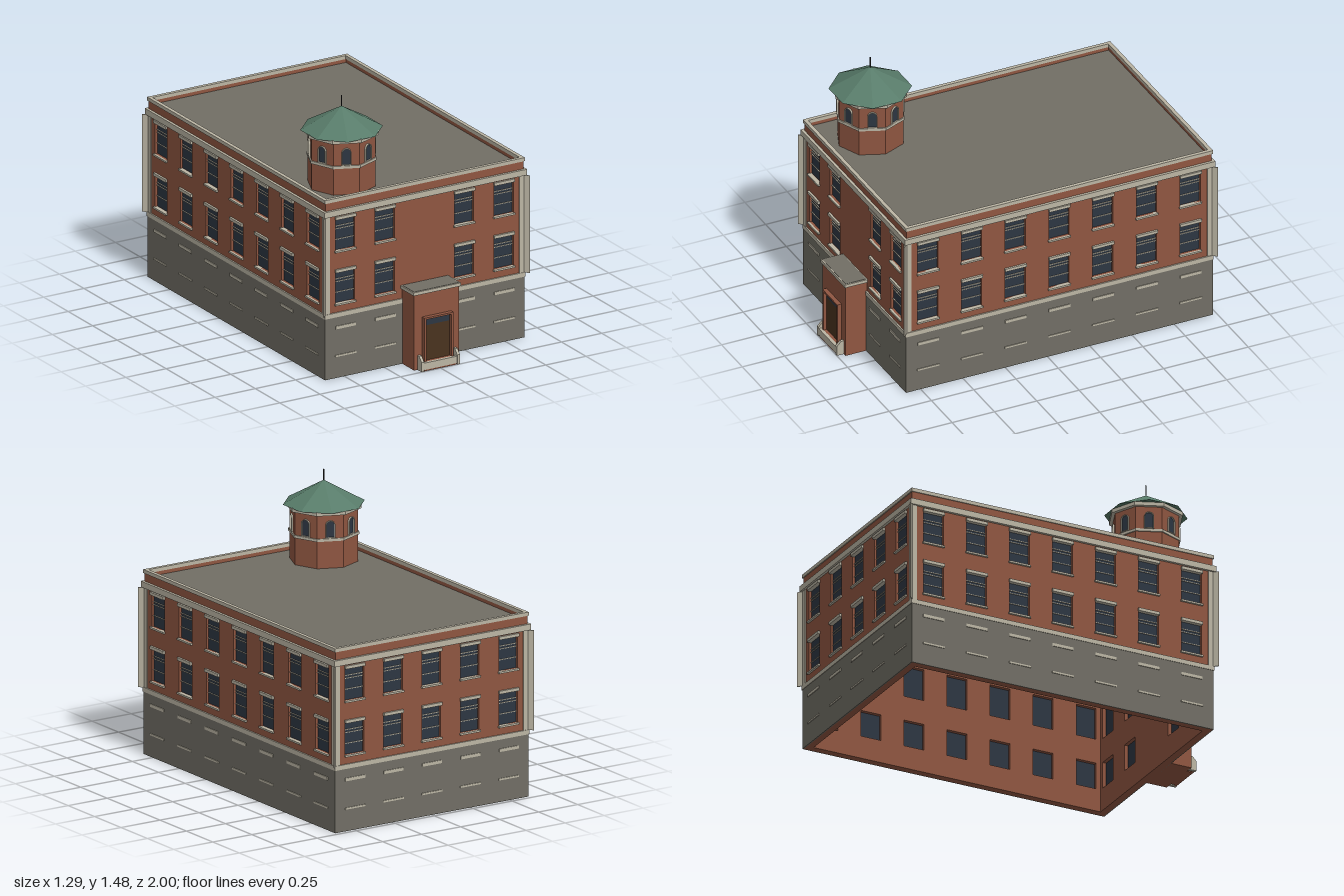
import * as THREE from 'three';

const mat = (name, color) => {
  const m = new THREE.MeshStandardMaterial({ color });
  m.name = name;
  return m;
};

export function createModel() {
  const brick = mat('brick', 0x8f5641), stone = mat('grey stone', 0x716e65), trim = mat('cream trim', 0xbbb5a4);
  const glass = mat('dark glass', 0x2d3642), wood = mat('door wood', 0x49331f);
  const copper = mat('green copper', 0x587c6a), iron = mat('dark iron', 0x2a2a2a);

  const model = new THREE.Group();
  model.name = 'building';

  const add = (parent, name, geo, material, x = 0, y = 0, z = 0) => {
    const m = new THREE.Mesh(geo, material);
    m.name = name;
    m.position.set(x, y, z);
    parent.add(m);
    return m;
  };
  // box from its min and max corners
  const box = (parent, name, material, x0, x1, y0, y1, z0, z1) =>
    add(parent, name, new THREE.BoxGeometry(x1 - x0, y1 - y0, z1 - z0), material,
      (x0 + x1) / 2, (y0 + y1) / 2, (z0 + z1) / 2);

  const HW = 0.615, HD = 0.902, CZ = -0.07, THICK = 0.04;
  const floors = [[0.13, 0.28], [0.42, 0.6], [0.72, 0.9]];

  // One side of the building; local z = 0 is the outer brick face
  function addSide(name, half, columns, x, z, turn) {
    const side = new THREE.Group();
    side.name = name;
    side.position.set(x, 0, z);
    side.rotation.y = turn;
    model.add(side);

    const shape = new THREE.Shape([[-half, 0], [half, 0], [half, 0.975], [-half, 0.975]]
      .map(p => new THREE.Vector2(...p)));
    for (const c of columns) for (const [y0, y1] of floors) {
      shape.holes.push(new THREE.Path([[c - 0.06, y0], [c - 0.06, y1], [c + 0.06, y1], [c + 0.06, y0]]
        .map(p => new THREE.Vector2(...p))));
    }
    add(side, 'brickWall', new THREE.ExtrudeGeometry(shape, { depth: THICK, bevelEnabled: false }), brick, 0, 0, -THICK);

    // horizontal bands, base and roof edge
    box(side, 'stoneBase', stone, -half - 0.005, half + 0.005, 0, 0.345, -0.002, 0.005);
    box(side, 'beltCourse', trim, -half - 0.008, half + 0.008, 0.345, 0.37, -0.005, 0.008);
    box(side, 'cornice', trim, -half - 0.015, half + 0.015, 0.922, 0.955, -0.005, 0.015);
    box(side, 'parapet', brick, -half, half, 0.95, 1.0, -0.013, 0);
    box(side, 'coping', trim, -half - 0.006, half + 0.006, 1.0, 1.02, -0.015, 0.006);
    for (const s of [-1, 1]) {
      const a = s * (half - 0.027), b = s * (half + 0.005);
      box(side, 'cornerPilaster', trim, Math.min(a, b), Math.max(a, b), 0.37, 0.922, -0.003, 0.005);
    }

    // windows with sills, lintels and sash bars
    for (const c of columns) floors.forEach(([y0, y1], i) => {
      const ground = i === 0;
      box(side, 'windowPane', glass, c - 0.06, c + 0.06, y0, y1, -0.019, -0.014);
      const out = ground ? 0.009 : 0.012;
      box(side, 'windowSill', trim, c - 0.065, c + 0.065, y0 - 0.01, y0, -0.012, out);
      box(side, 'windowLintel', trim, c - 0.063, c + 0.063, y1 - 0.003, y1 + 0.014, -0.012, out);
      if (!ground) for (const h of [0.06, 0.12, 0.136]) {
        box(side, 'sashBar', trim, c - 0.06, c + 0.06, y0 + h - 0.002, y0 + h + 0.002, -0.015, -0.009);
      }
    });
  }

  const endCols = [-0.4925, -0.246, 0, 0.246, 0.4925];
  const longCols = [-3, -2, -1, 0, 1, 2, 3].map(i => i * 0.2585);
  addSide('frontSide', HW, endCols.filter(c => c !== 0), 0, CZ + HD, 0);
  addSide('backSide', HW, endCols, 0, CZ - HD, Math.PI);
  addSide('leftSide', HD, longCols, HW, CZ, Math.PI / 2);
  addSide('rightSide', HD, longCols, -HW, CZ, -Math.PI / 2);

  box(model, 'roof', stone, -HW + 0.01, HW - 0.01, 0.955, 0.98, CZ - HD + 0.01, CZ + HD - 0.01);

  // thin diagonal fins on the corners
  for (const sx of [-1, 1]) for (const sz of [-1, 1]) {
    const fin = add(model, 'cornerFin', new THREE.BoxGeometry(0.06, 0.552, 0.006), trim,
      sx * (HW + 0.005), 0.644, CZ + sz * (HD + 0.004));
    fin.rotation.y = -sx * sz * Math.PI / 4;
  }

  // Entrance porch
  const porch = new THREE.Group();
  porch.name = 'entrancePorch';
  model.add(porch);
  box(porch, 'porchBody', brick, -0.14, 0.14, 0, 0.426, 0.825, 0.958);
  box(porch, 'porchCornice', trim, -0.147, 0.147, 0.426, 0.444, 0.83, 0.965);
  box(porch, 'porchRoof', stone, -0.14, 0.14, 0.442, 0.446, 0.837, 0.958);
  for (const s of [-1, 1]) {
    box(porch, 'doorJamb', brick, s * 0.084 - 0.006, s * 0.084 + 0.006, 0, 0.295, 0.955, 0.983);
    // sloped cheek beside the step
    const cheek = new THREE.Shape([[0.955, 0], [1.0, 0], [1.0, 0.055], [0.975, 0.082], [0.955, 0.082]]
      .map(([z, y]) => new THREE.Vector2(-z, y)));
    const m = add(porch, 'stepCheek',
      new THREE.ExtrudeGeometry(cheek, { depth: 0.016, bevelEnabled: false }), trim, s * 0.111 - 0.008, 0, 0);
    m.rotation.y = Math.PI / 2;
  }
  box(porch, 'doorHead', brick, -0.09, 0.09, 0.285, 0.295, 0.955, 0.983);
  box(porch, 'door', wood, -0.078, 0.078, 0.045, 0.245, 0.955, 0.963);
  box(porch, 'transomWindow', glass, -0.078, 0.078, 0.245, 0.285, 0.955, 0.963);
  box(porch, 'threshold', brick, -0.078, 0.078, 0, 0.047, 0.955, 0.981);
  box(porch, 'frontStep', trim, -0.105, 0.105, 0.008, 0.047, 0.98, 0.998);
  box(porch, 'stepFoot', brick, -0.1, 0.1, 0, 0.008, 0.98, 0.996);

  // Octagonal tower
  const tower = new THREE.Group();
  tower.name = 'tower';
  tower.position.set(-0.355, 0, 0.57);
  model.add(tower);
  const octagon = (name, material, r0, r1, y0, y1, turn = 0) => {
    const geo = new THREE.CylinderGeometry(r1, r0, y1 - y0, 8).toNonIndexed();
    geo.computeVertexNormals();
    add(tower, name, geo, material, 0, (y0 + y1) / 2, 0).rotation.y = turn;
  };
  octagon('towerWall', brick, 0.185, 0.185, 0.97, 1.28);
  octagon('towerBelt', trim, 0.192, 0.192, 1.13, 1.145);
  octagon('towerCornice', trim, 0.205, 0.205, 1.275, 1.297);
  octagon('towerRoof', copper, 0.222, 0.001, 1.295, 1.42, Math.PI / 8);
  add(tower, 'spire', new THREE.CylinderGeometry(0.003, 0.003, 0.08, 8), iron, 0, 1.44, 0);

  // arched tower windows, one per face
  const arch = (Kind, w, y0, spring) => {
    const p = new Kind();
    p.moveTo(-w, y0);
    p.lineTo(w, y0);
    p.lineTo(w, spring);
    p.absarc(0, spring, w, 0, Math.PI, false);
    p.lineTo(-w, y0);
    return p;
  };
  const rim = arch(THREE.Shape, 0.026, 1.148, 1.218);
  rim.holes.push(arch(THREE.Path, 0.022, 1.152, 1.218));
  const rimGeo = new THREE.ExtrudeGeometry(rim, { depth: 0.012, bevelEnabled: false, curveSegments: 8 });
  const paneGeo = new THREE.ShapeGeometry(arch(THREE.Shape, 0.023, 1.15, 1.218), 8);
  const apothem = 0.185 * Math.cos(Math.PI / 8);
  for (let i = 0; i < 8; i++) {
    const face = new THREE.Group();
    face.name = 'towerWindow';
    face.rotation.y = (i + 0.5) * Math.PI / 4;
    tower.add(face);
    add(face, 'archRim', rimGeo, trim, 0, 0, apothem - 0.002);
    add(face, 'archPane', paneGeo, glass, 0, 0, apothem + 0.002);
  }
  return model;
}
